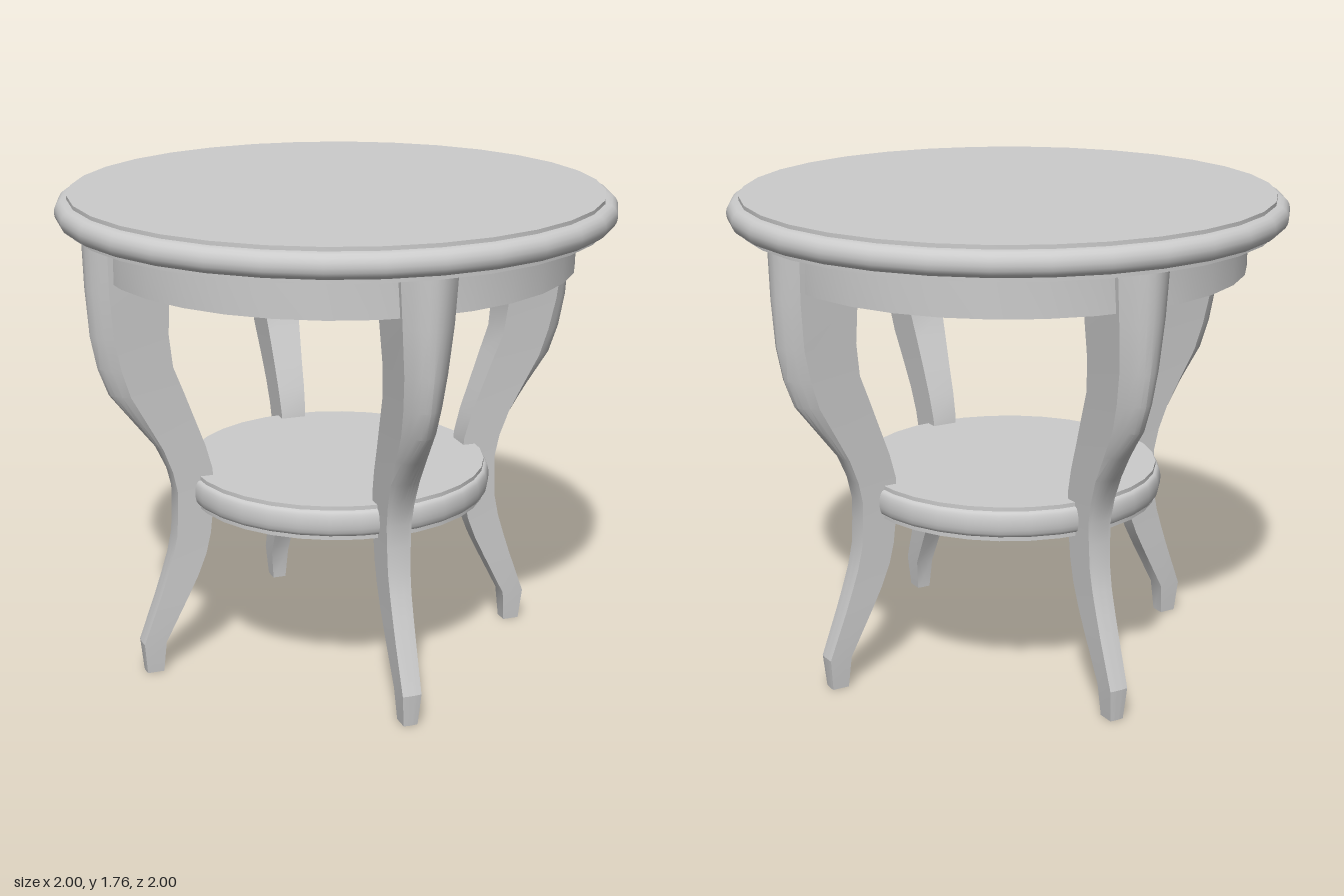
import * as THREE from 'three';
import { toCreasedNormals } from 'three/addons/utils/BufferGeometryUtils.js';

const material = new THREE.MeshStandardMaterial({ color: 0xcccccc });

function addPart(parent, name, geometry, crease) {
  const mesh = new THREE.Mesh(toCreasedNormals(geometry, crease), material);
  mesh.name = name;
  parent.add(mesh);
  return mesh;
}

// Turned part from [radius, y] pairs, listed bottom to top
function turned(profile) {
  return new THREE.LatheGeometry(profile.map(([r, y]) => new THREE.Vector2(r, y)), 32);
}

// Disc with a rounded moulding between two thin straight lips
function mouldedDisc(radius, lip, y0, y1) {
  const bulge = radius - lip, h = y1 - y0, profile = [[0, y0], [lip, y0], [lip, y0 + h * 0.12]];
  for (let i = 0; i <= 8; i++) {
    const a = -Math.PI / 2 + (Math.PI * i) / 8;
    profile.push([lip + bulge * (0.2 + 0.8 * Math.cos(a)), y0 + h * (0.5 + 0.37 * Math.sin(a))]);
  }
  profile.push([lip, y1 - h * 0.12], [lip, y1], [0, y1]);
  return turned(profile);
}

// Leg sections, bottom to top: y, inner face, outer corner, outer crest, half width
const legSections = [
  [0, 0.69, 0.752, 0.754, 0.026],
  [0.118, 0.68, 0.763, 0.765, 0.035],
  [0.29, 0.592, 0.7, 0.702, 0.038],
  [0.37, 0.553, 0.673, 0.675, 0.039],
  [0.45, 0.522, 0.648, 0.65, 0.04],
  [0.53, 0.504, 0.631, 0.633, 0.042],
  [0.62, 0.495, 0.626, 0.628, 0.044],
  [0.7, 0.49, 0.625, 0.628, 0.046],
  [0.78, 0.495, 0.642, 0.65, 0.049],
  [0.87, 0.52, 0.676, 0.692, 0.053],
  [0.97, 0.557, 0.73, 0.77, 0.057],
  [1.08, 0.598, 0.79, 0.855, 0.063],
  [1.18, 0.637, 0.822, 0.892, 0.069],
  [1.3, 0.652, 0.847, 0.915, 0.077],
  [1.47, 0.649, 0.862, 0.926, 0.091],
  [1.65, 0.647, 0.866, 0.93, 0.102],
];

// Horizontal slices, flat inside and bowed outside, joined into a closed leg
function legGeometry() {
  const arc = 8, n = arc + 3, position = [], index = [];
  for (const [y, inner, corner, crest, w] of legSections) {
    position.push(inner, y, w);
    for (let i = 0; i <= arc; i++) {
      const t = 1 - (2 * i) / arc;
      position.push(corner + (crest - corner) * (1 - t * t), y, w * t);
    }
    position.push(inner, y, -w);
  }
  const last = (legSections.length - 1) * n;
  for (let row = 0; row < last; row += n) {
    for (let j = 0; j < n; j++) {
      const a = row + j, b = row + ((j + 1) % n);
      index.push(a, b, b + n, a, b + n, a + n);
    }
  }
  for (let j = 1; j < n - 1; j++) {
    index.push(0, j + 1, j, last, last + j, last + j + 1);
  }
  const geometry = new THREE.BufferGeometry();
  geometry.setAttribute('position', new THREE.Float32BufferAttribute(position, 3));
  geometry.setIndex(index);
  return geometry;
}

export function createModel() {
  const table = new THREE.Group();
  table.name = 'roundTable';

  addPart(table, 'tableTop', mouldedDisc(1, 0.955, 1.645, 1.763), 0.6);
  addPart(table, 'shelf', mouldedDisc(0.565, 0.545, 0.63, 0.754), 0.6);

  // Apron ring under the top
  addPart(table, 'apron', turned([[0.78, 1.65], [0.78, 1.5], [0.855, 1.5], [0.855, 1.65]]), 0.6);

  // Four identical legs, one on each axis
  const leg = legGeometry();
  ['leftLeg', 'backLeg', 'rightLeg', 'frontLeg'].forEach((name, i) => {
    addPart(table, name, leg, 0.4).rotation.y = (i * Math.PI) / 2;
  });
  return table;
}
